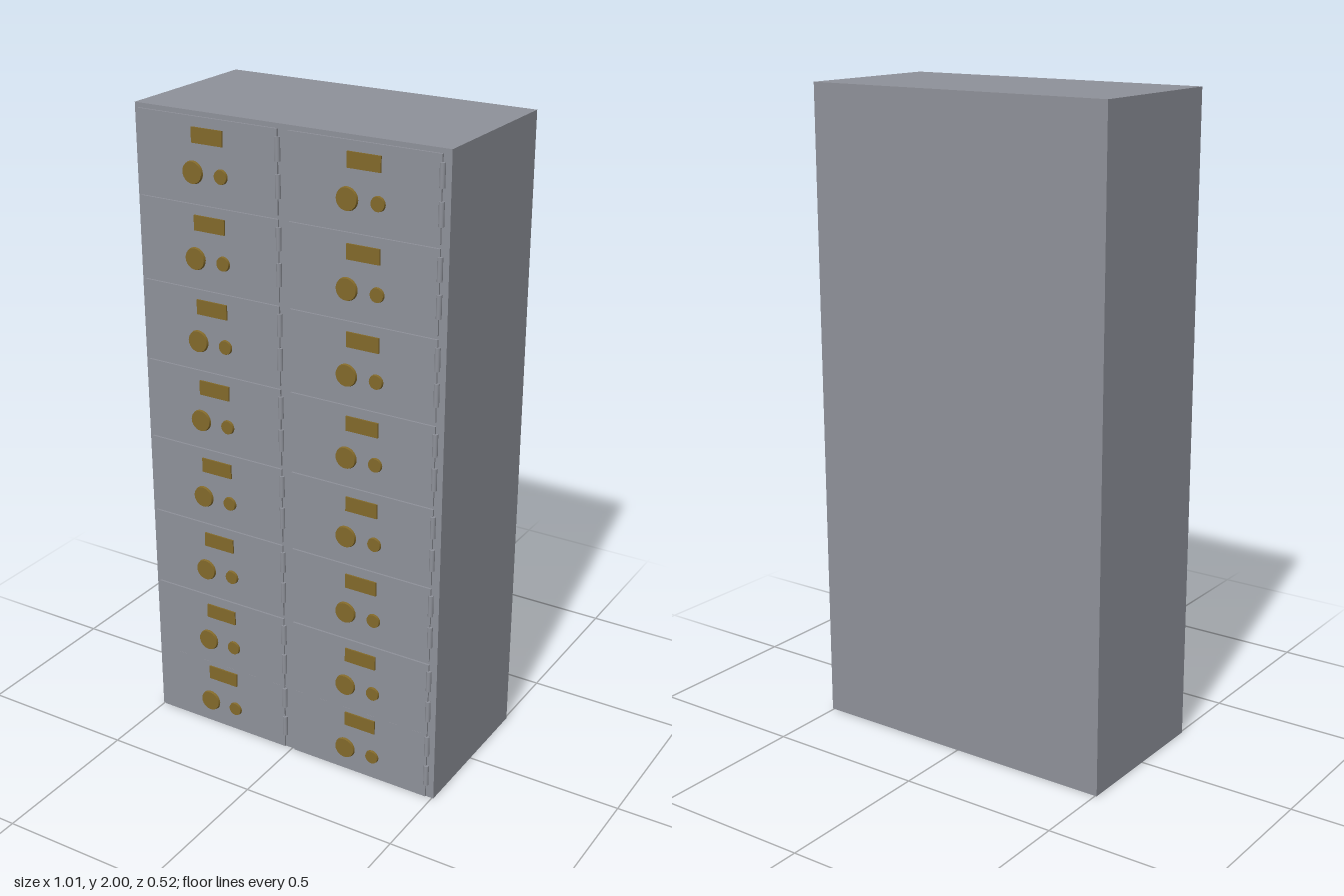
import * as THREE from 'three';

export function createModel() {
  const steel = new THREE.MeshStandardMaterial({ name: 'grey steel', color: 0x8e9199 });
  const brass = new THREE.MeshStandardMaterial({ name: 'aged brass', color: 0x82692a });
  const model = new THREE.Group();
  model.name = 'depositBoxCabinet';

  const FRONT = 0.245; // front plane of the cabinet body

  function add(parent, name, geometry, material, x, y, z) {
    const mesh = new THREE.Mesh(geometry, material);
    mesh.name = name;
    mesh.position.set(x, y, z);
    parent.add(mesh);
    return mesh;
  }

  // Cabinet body
  const bodyDepth = FRONT + 0.258;
  add(model, 'cabinetBody', new THREE.BoxGeometry(1.01, 2, bodyDepth), steel, 0, 1, FRONT - bodyDepth / 2);

  // Shared geometries
  const hingeGeo = new THREE.CylinderGeometry(0.008, 0.008, 0.068, 12);
  const plateGeo = new THREE.BoxGeometry(0.104, 0.045, 0.005);
  const disc = (r) => new THREE.CylinderGeometry(r * 0.94, r, 0.007, 24).rotateX(Math.PI / 2);
  const dialGeo = disc(0.034);
  const lockGeo = disc(0.022);

  // One door with its hinges, name plate and two round locks; y is the dial height
  function makeDoor(left, y, bottom, top) {
    const door = new THREE.Group();
    door.name = 'door';
    const width = 0.469;
    const face = FRONT + 0.006;
    add(door, 'doorPanel', new THREE.BoxGeometry(width, top - bottom, 0.008), steel,
      left + width / 2, (bottom + top) / 2, face - 0.004);
    for (const dy of [0, 0.104]) {
      add(door, 'hinge', hingeGeo, steel, left + width, y + dy, FRONT + 0.003);
    }
    add(door, 'labelPlate', plateGeo, brass, left + 0.239, y + 0.108, face + 0.0025);
    add(door, 'largeLock', dialGeo, brass, left + 0.187, y, face + 0.0035);
    add(door, 'smallLock', lockGeo, brass, left + 0.283, y, face + 0.0035);
    model.add(door);
  }

  // Two columns of eight doors; the bottom door is cut shorter
  for (const left of [-0.493, 0.011]) {
    for (let row = 0; row < 7; row++) {
      const y = 1.826 - row * 0.2533;
      makeDoor(left, y, y - 0.082, y + 0.16);
    }
    makeDoor(left, 0.079, 0.002, 0.224);
  }
  return model;
}
